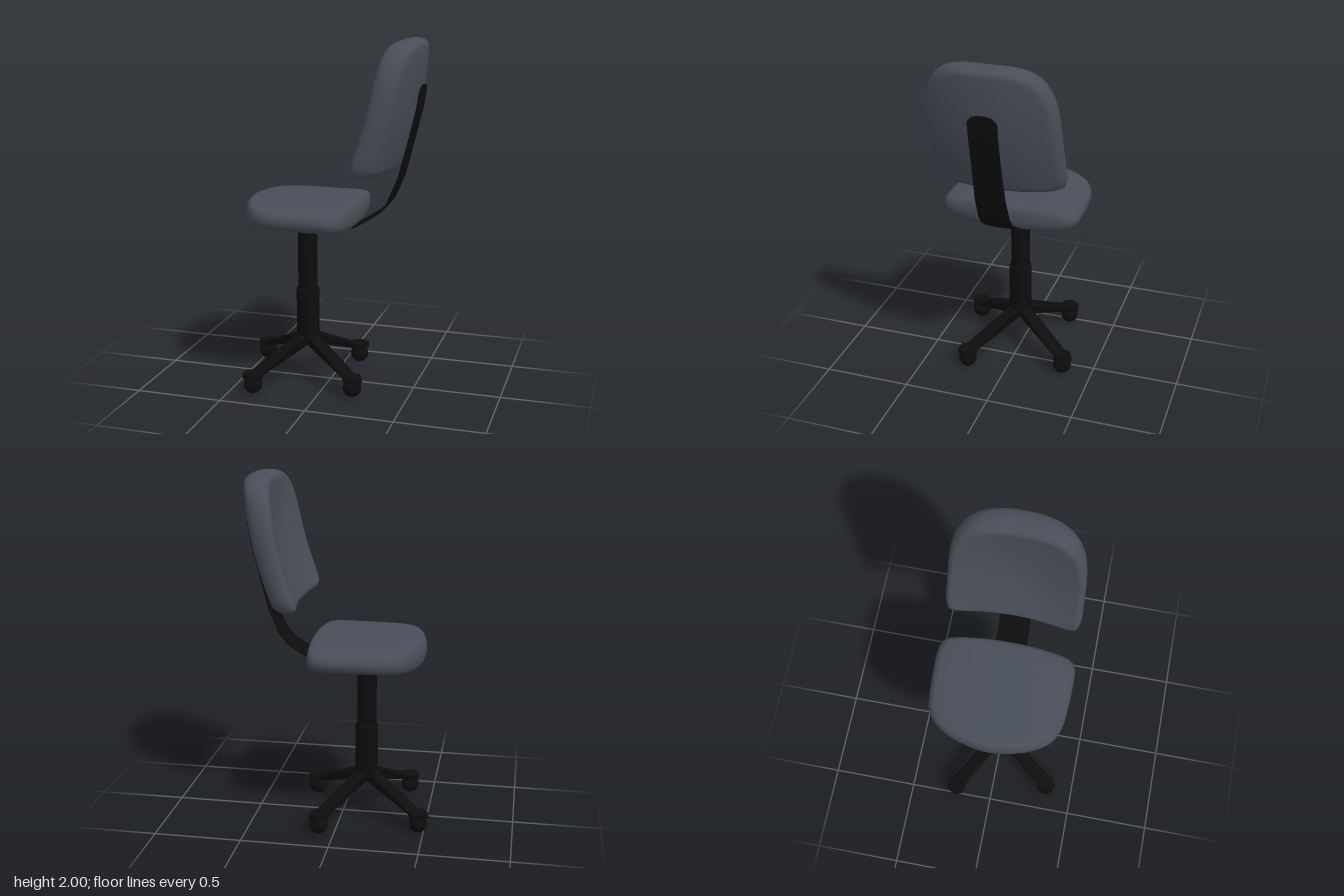
import * as THREE from 'three';
import { toCreasedNormals } from 'three/addons/utils/BufferGeometryUtils.js';

const fabric = new THREE.MeshStandardMaterial({ color: 0x484e58 });
fabric.name = 'greyFabric';
const plastic = new THREE.MeshStandardMaterial({ color: 0x0d0d0d });
plastic.name = 'blackPlastic';

function part(name, geometry, material, x = 0, y = 0, z = 0) {
  const mesh = new THREE.Mesh(geometry, material);
  mesh.name = name;
  mesh.position.set(x, y, z);
  return mesh;
}

// Skin closed rings of [x, y, z] points, cap both ends, and face outwards
function loft(rings) {
  const n = rings[0].length;
  const pts = rings.flat();
  const index = [];
  for (let r = 0; r < rings.length - 1; r++) {
    for (let i = 0; i < n; i++) {
      const a = r * n + i, b = r * n + (i + 1) % n;
      index.push(a, b, b + n, a, b + n, a + n);
    }
  }
  const last = (rings.length - 1) * n;
  for (let i = 1; i < n - 1; i++) {
    index.push(0, i + 1, i, last, last + i, last + i + 1);
  }
  // Signed volume tells whether the winding has to be reversed
  const v = pts.map((p) => new THREE.Vector3(...p));
  let volume = 0;
  for (let i = 0; i < index.length; i += 3) {
    volume += v[index[i]].dot(v[index[i + 1]].clone().cross(v[index[i + 2]]));
  }
  if (volume < 0) index.reverse();
  const geo = new THREE.BufferGeometry();
  geo.setAttribute('position', new THREE.Float32BufferAttribute(pts.flat(), 3));
  geo.setIndex(index);
  geo.computeVertexNormals();
  return geo;
}

// Cushion: a smooth outline with a rounded rim; place(u, v, t) puts it in space
function cushion(outline, cu, cv, inset, place) {
  const curve = new THREE.CatmullRomCurve3(
    outline.map(([u, v]) => new THREE.Vector3(u, v, 0)), true, 'centripetal');
  const loop = curve.getSpacedPoints(64).slice(0, 64);
  const steps = [];
  for (const s of [0.01, 0.2, 0.4, 0.6, 0.78]) steps.push([s, -1]);
  for (let k = 0; k <= 10; k++) {
    const a = (k / 10 - 0.5) * Math.PI;
    const c = Math.pow(Math.max(Math.cos(a), 0), 0.8);
    steps.push([1 - inset * (1 - c), Math.sin(a)]);
  }
  for (const s of [0.78, 0.6, 0.4, 0.2, 0.01]) steps.push([s, 1]);
  return loft(steps.map(([s, t]) =>
    loop.map((p) => place(cu + (p.x - cu) * s, cv + (p.y - cv) * s, t))));
}

export function createModel() {
  const model = new THREE.Group();
  model.name = 'officeChair';

  // Seat, thinner towards its two sides
  const seatOutline = [
    [0.175, 0], [0.172, 0.12], [0.15, 0.31], [0.13, 0.37], [0.09, 0.393],
    [-0.18, 0.392], [-0.28, 0.378], [-0.355, 0.34], [-0.42, 0.25], [-0.46, 0.13], [-0.477, 0],
  ];
  const mirrored = seatOutline.slice(1, -1).reverse().map(([x, z]) => [x, -z]);
  model.add(part('seat', cushion([...seatOutline, ...mirrored], -0.15, 0, 0.11,
    (x, z, t) => [x, 1.021 + t * 0.073 * (1 - 0.4 * Math.pow(Math.abs(z) / 0.4, 3)), z - 0.004]), fabric));

  // Backrest, leaning back and wrapped around the sitter
  const backHalf = [
    [0, 2.0], [0.16, 1.993], [0.24, 1.968], [0.3, 1.915], [0.345, 1.82], [0.365, 1.7],
    [0.375, 1.5], [0.377, 1.34], [0.365, 1.297], [0.33, 1.28], [0.2, 1.272], [0, 1.27],
  ];
  const backMirror = backHalf.slice(1, -1).reverse().map(([z, y]) => [-z, y]);
  model.add(part('backrest', cushion([...backHalf, ...backMirror], 0, 1.63, 0.11, (z, y, t) => {
    const w = (z / 0.375) ** 2;
    return [0.457 - 0.29 * (2 - y) ** 2 - 0.07 * w + t * 0.077 * (1 - 0.2 * w), y, z];
  }), fabric));

  // Bent support strip from under the seat up the backrest: x, y, half width
  const strip = [
    [-0.14, 0.945, 0.09], [0.16, 0.95, 0.09], [0.22, 0.987, 0.09], [0.3, 1.04, 0.09],
    [0.35, 1.1, 0.088], [0.41, 1.24, 0.085], [0.469, 1.47, 0.08], [0.505, 1.62, 0.08],
    [0.521, 1.72, 0.08], [0.525, 1.745, 0.055], [0.526, 1.755, 0.02],
  ];
  const stripRings = strip.map(([x, y, w], i) => {
    const p = strip[Math.max(i - 1, 0)], q = strip[Math.min(i + 1, strip.length - 1)];
    const len = Math.hypot(q[0] - p[0], q[1] - p[1]);
    const nx = -(q[1] - p[1]) / len * 0.005, ny = (q[0] - p[0]) / len * 0.005;
    return [[x + nx, y + ny, w], [x + nx, y + ny, -w], [x - nx, y - ny, -w], [x - nx, y - ny, w]];
  });
  model.add(part('backSupport', toCreasedNormals(loft(stripRings), 0.6), plastic));

  // Base: column, collar, legs and casters around one axis
  const base = new THREE.Group();
  base.name = 'base';
  base.position.set(-0.138, 0, 0.005);
  model.add(base);
  const profile = [
    [0, 0.212], [0.062, 0.24], [0.066, 0.27], [0.066, 0.55], [0.056, 0.555], [0.056, 0.895],
    [0.066, 0.9], [0.066, 0.92], [0.08, 0.922], [0.08, 0.938], [0.092, 0.94], [0.092, 0.955], [0, 0.955],
  ].map(([r, y]) => new THREE.Vector2(r, y));
  base.add(part('column', toCreasedNormals(new THREE.LatheGeometry(profile, 20), 0.6), plastic));

  // Leg sections: radius, bottom, top, half width
  const legRings = [[0.0, 0.215, 0.29, 0.036], [0.07, 0.193, 0.268, 0.038], [0.38, 0.092, 0.124, 0.046]]
    .map(([r, lo, hi, w]) => [[r, lo, w * 0.7], [r, hi - 0.012, w], [r, hi, w * 0.7],
      [r, hi, -w * 0.7], [r, hi - 0.012, -w], [r, lo, -w * 0.7]]);
  const legGeo = toCreasedNormals(loft(legRings), 0.5);
  const footGeo = toCreasedNormals(new THREE.CylinderGeometry(0.057, 0.059, 0.032, 6), 0.5);
  const casterGeo = new THREE.SphereGeometry(0.053, 14, 10);
  for (let i = 0; i < 4; i++) {
    const leg = new THREE.Group();
    leg.name = 'leg' + (i + 1);
    leg.rotation.y = THREE.MathUtils.degToRad(-34 + i * 90);
    leg.add(part('legBeam', legGeo, plastic));
    leg.add(part('legFoot', footGeo, plastic, 0.4, 0.106, 0));
    leg.add(part('caster', casterGeo, plastic, 0.4, 0.053, 0));
    base.add(leg);
  }
  return model;
}
